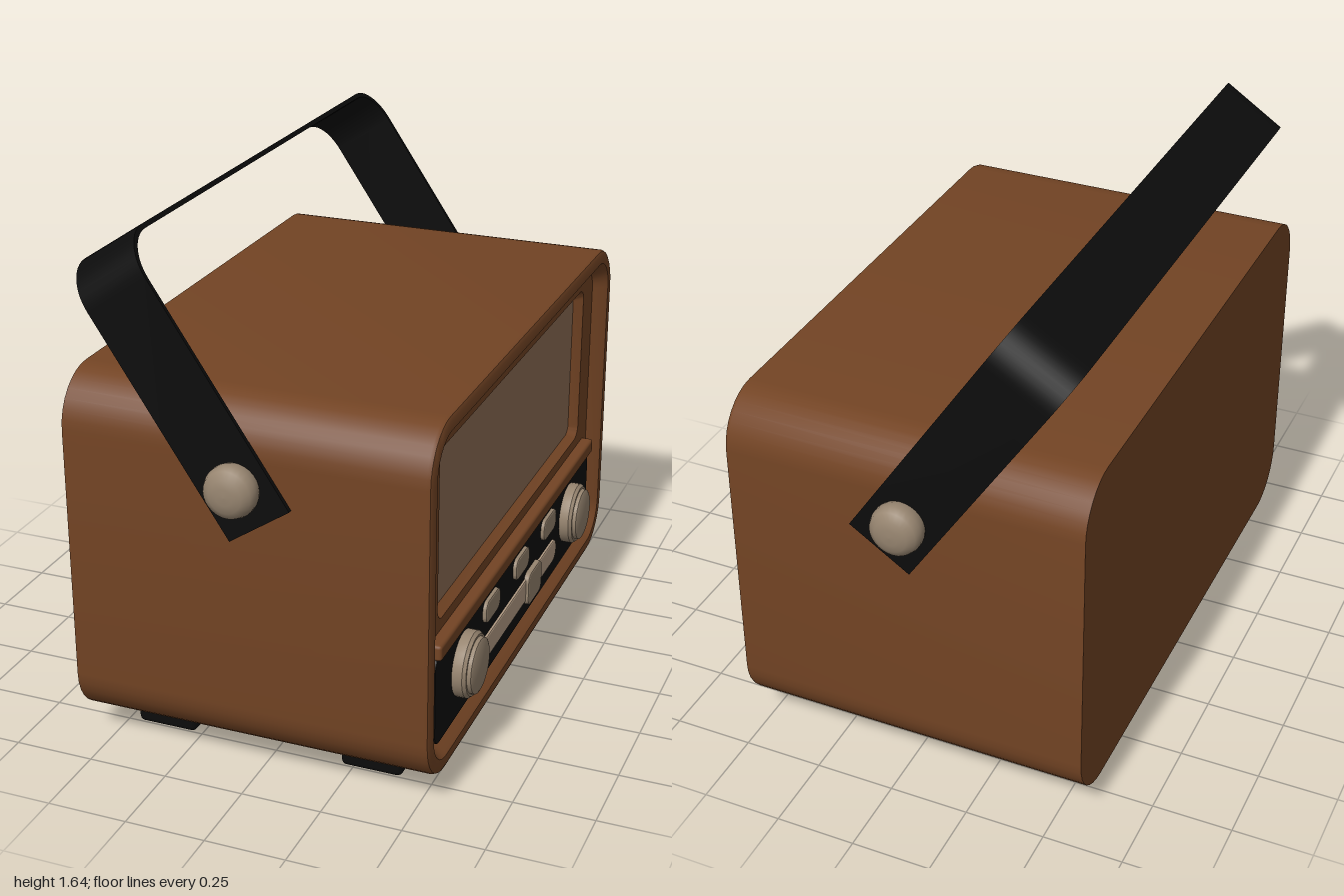
import * as THREE from 'three';
import { toCreasedNormals } from 'three/addons/utils/BufferGeometryUtils.js';
import { RoundedBoxGeometry } from 'three/addons/geometries/RoundedBoxGeometry.js';

const mat = (name, color, side = THREE.FrontSide) => {
  const m = new THREE.MeshStandardMaterial({ color, side });
  m.name = name;
  return m;
};

// Rounded rectangle outline, counter-clockwise; u runs towards -z, v is up
function roundRect(u0, u1, v0, v1, r, n = 8) {
  const pts = [];
  const corners = [[u1 - r, v0 + r], [u1 - r, v1 - r], [u0 + r, v1 - r], [u0 + r, v0 + r]];
  corners.forEach(([cu, cv], k) => {
    for (let i = 0; i <= n; i++) {
      const a = (k - 1 + i / n) * Math.PI / 2;
      pts.push(new THREE.Vector2(cu + r * Math.cos(a), cv + r * Math.sin(a)));
    }
  });
  return pts;
}

// Skin through outlines placed at successive x positions
function loft(rings) {
  const pos = [], idx = [], n = rings[0].pts.length;
  rings.forEach(({ x, pts }) => pts.forEach(p => pos.push(x, p.y, -p.x)));
  for (let j = 0; j < rings.length - 1; j++) {
    for (let i = 0; i < n; i++) {
      const a = j * n + i, b = j * n + (i + 1) % n;
      idx.push(a, b, b + n, a, b + n, a + n);
    }
  }
  const g = new THREE.BufferGeometry();
  g.setAttribute('position', new THREE.Float32BufferAttribute(pos, 3));
  g.setIndex(idx);
  return toCreasedNormals(g, 0.5);
}

// Flat face looking along +x
const face = (shape, x) => new THREE.ShapeGeometry(shape).rotateY(Math.PI / 2).translate(x, 0, 0);

// Plate from x0 to x1 with a small bevel on its front
function plate(pts, x0, x1, bevel = 0.006) {
  return new THREE.ExtrudeGeometry(new THREE.Shape(pts), {
    depth: x1 - x0 - bevel, bevelThickness: bevel, bevelSize: bevel, bevelOffset: -bevel, bevelSegments: 2,
  }).rotateY(Math.PI / 2).translate(x0, 0, 0);
}

export function createModel() {
  const group = new THREE.Group();
  const brown = mat('brown wood', 0x734424);
  const tan = mat('tan grille cloth', 0x8f6f57);
  const beige = mat('beige knobs', 0x978570);
  const cream = mat('cream dial', 0xb8a088);
  const black = mat('black', 0x0c0c0c, THREE.DoubleSide);

  const add = (name, geometry, material, parent = group) => {
    const m = new THREE.Mesh(geometry, material);
    m.name = name;
    parent.add(m);
    return m;
  };

  // Cabinet shell with rounded front edge and sloping inner rim
  const outline = inset => roundRect(-0.91 + inset, 0.91 - inset, 0.07 + inset, 1.19 - inset, 0.16 - inset);
  add('cabinet', loft([
    { x: -0.58, pts: outline(0) },
    { x: 0.53, pts: outline(0) },
    { x: 0.54, pts: outline(0.004) },
    { x: 0.545, pts: outline(0.015) },
    { x: 0.545, pts: outline(0.045) },
    { x: 0.535, pts: outline(0.055) },
    { x: 0.5, pts: outline(0.08) },
  ]), brown);
  add('cabinetBack', new THREE.ShapeGeometry(new THREE.Shape(outline(0)))
    .rotateY(-Math.PI / 2).translate(-0.58, 0, 0), brown);

  // Front board with the grille opening
  const opening = roundRect(-0.72, 0.72, 0.525, 1.065, 0.04);
  const inner = roundRect(-0.7, 0.7, 0.54, 1.05, 0.03);
  const board = new THREE.Shape(outline(0.08));
  board.holes.push(new THREE.Path(opening));
  add('frontBoard', face(board, 0.5), brown);
  add('grilleFrame', loft([{ x: 0.5, pts: opening }, { x: 0.47, pts: inner }]), brown);
  add('grille', face(new THREE.Shape(inner), 0.47), tan);

  // Ledge and control panel
  add('ledge', new RoundedBoxGeometry(0.05, 0.05, 1.58, 2, 0.01).translate(0.513, 0.465, 0), brown);
  add('controlPanel', plate(roundRect(-0.79, 0.79, 0.15, 0.445, 0.04), 0.49, 0.522, 0.004), black);

  // Push buttons
  for (const u of [-0.3, 0, 0.3]) {
    add('button', plate(roundRect(u - 0.07, u + 0.07, 0.34, 0.415, 0.03), 0.515, 0.535), beige);
  }

  // Tuning dial and its slider
  add('tuningDial', plate(roundRect(-0.4, 0.4, 0.208, 0.288, 0.038), 0.515, 0.53), cream);
  add('tuningSlider', plate(roundRect(0.055, 0.2, 0.19, 0.305, 0.03), 0.515, 0.54), beige);

  // Round knobs, turned about x
  const knobProfile = [[0.1, 0], [0.103, 0.01], [0.103, 0.04], [0.095, 0.05], [0.088, 0.05], [0.086, 0.062], [0.078, 0.066], [0, 0.066]]
    .map(([r, h]) => new THREE.Vector2(r, h));
  const knobGeo = toCreasedNormals(new THREE.LatheGeometry(knobProfile, 32), 0.6).rotateZ(-Math.PI / 2);
  for (const z of [0.55, -0.55]) add('knob', knobGeo, beige).position.set(0.514, 0.31, z);

  // Feet
  for (const x of [-0.368, 0.308]) {
    for (const z of [0.657, -0.657]) {
      add('foot', new RoundedBoxGeometry(0.195, 0.09, 0.195, 2, 0.018), black).position.set(x, 0.045, z);
    }
  }

  // Carrying handle: a thin bent strap, tilted back about its pivot
  const strap = (shape, w, t, top, r, start) => {
    const s = start ? 'moveTo' : 'lineTo';
    const c = r * 0.45;
    shape[s](-w, -0.13);
    shape.lineTo(-t, top - r);
    shape.bezierCurveTo(-t, top - r + r - c, -t + c, top, -t + r, top);
    shape.lineTo(t - r, top);
    shape.bezierCurveTo(t - c, top, t, top - c, t, top - r);
    shape.lineTo(w, -0.13);
  };
  const outer = new THREE.Shape();
  strap(outer, 0.928, 0.92, 0.753, 0.13, true);
  const innerPts = new THREE.Path();
  strap(innerPts, 0.914, 0.908, 0.738, 0.12, true);
  const strapShape = new THREE.Shape([...outer.getPoints(10), ...innerPts.getPoints(10).reverse()]);
  const strapGeo = new THREE.ExtrudeGeometry(strapShape, { depth: 0.223, bevelEnabled: false })
    .translate(0, 0, -0.1115).rotateY(Math.PI / 2);
  const handle = add('handle', toCreasedNormals(strapGeo, 0.6), black);
  handle.rotation.z = 0.588;
  handle.position.set(-0.03, 0.95, 0);

  // Domed pivot caps on both sides
  const capProfile = [[0.074, 0], [0.08, 0.02], [0.08, 0.04], [0.072, 0.062], [0.05, 0.076], [0.025, 0.081], [0, 0.082]]
    .map(([r, h]) => new THREE.Vector2(r, h));
  for (const s of [1, -1]) {
    const cap = add('handlePivot', new THREE.LatheGeometry(capProfile, 28).rotateX(s * Math.PI / 2), beige);
    cap.position.set(-0.03, 0.95, s * 0.918);
  }
  return group;
}
